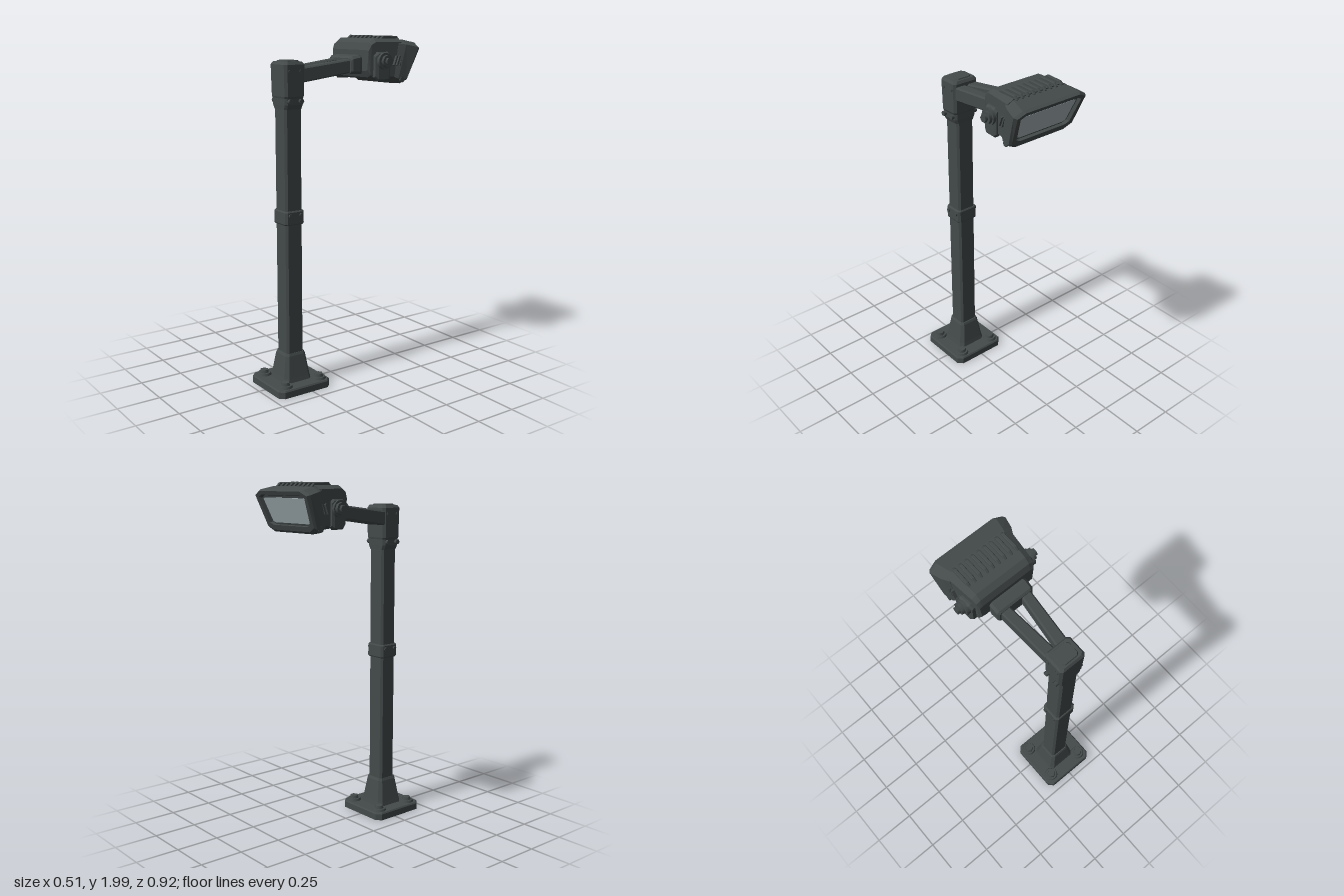
import * as THREE from 'three';

const metal = new THREE.MeshStandardMaterial({ color: 0x444a4a });
metal.name = 'dark grey metal';
const glass = new THREE.MeshStandardMaterial({ color: 0xa6b3b7 });
glass.name = 'pale lamp glass';

const CX = 0.006, CZ = 0.29; // pole axis

// Chamfered rectangle, counter-clockwise, half sizes a and b
function octagon(a, b, c) {
  return [[-a + c, -b], [a - c, -b], [a, -b + c], [a, b - c], [a - c, b], [-a + c, b], [-a, b - c], [-a, -b + c]];
}

// Skin a row of equal-length rings and close both ends
function loft(rings) {
  const pos = [];
  const tri = (...pts) => pts.forEach((p) => pos.push(p.x, p.y, p.z));
  const n = rings[0].length;
  for (let k = 0; k < rings.length - 1; k++) {
    for (let i = 0; i < n; i++) {
      const j = (i + 1) % n, r = rings[k], s = rings[k + 1];
      tri(r[i], r[j], s[j]);
      tri(r[i], s[j], s[i]);
    }
  }
  const first = rings[0], last = rings[rings.length - 1];
  for (let i = 1; i < n - 1; i++) {
    tri(first[0], first[i + 1], first[i]);
    tri(last[0], last[i], last[i + 1]);
  }
  const g = new THREE.BufferGeometry();
  g.setAttribute('position', new THREE.Float32BufferAttribute(pos, 3));
  g.computeVertexNormals();
  return g;
}

// Upright column from [y, halfX, halfZ, chamfer] levels
const column = (levels) => loft(levels.map(([y, hx, hz, c]) =>
  octagon(hz, hx, c).map(([z, x]) => new THREE.Vector3(CX + x, y, CZ + z))));

// Beam running towards -z from [x, y, z, halfX, halfY, chamfer] stations
const beam = (stations) => loft(stations.map(([x, y, z, hx, hy, c]) =>
  octagon(hx, hy, c).map(([u, v]) => new THREE.Vector3(x - u, y + v, z))));

// Tilted lamp section: top and bottom edges as [y, z], half widths at each
function section(top, bot, wTop, wBot, c) {
  return octagon(1, 1, c).map(([u, v]) => {
    const t = (v + 1) / 2;
    return new THREE.Vector3(-u * (wBot + (wTop - wBot) * t),
      bot[0] + (top[0] - bot[0]) * t, bot[1] + (top[1] - bot[1]) * t);
  });
}

export function createModel() {
  const model = new THREE.Group();
  const add = (name, geo, mat = metal, x = 0, y = 0, z = 0) => {
    const m = new THREE.Mesh(geo, mat);
    m.name = name;
    m.position.set(x, y, z);
    model.add(m);
    return m;
  };
  const sideDisc = (name, r, len, x, y, z, sides = 6) =>
    add(name, new THREE.CylinderGeometry(r, r, len, sides).toNonIndexed().rotateZ(Math.PI / 2), metal, x, y, z);

  // Base plate, flared foot and anchor bolts
  add('basePlate', column([[0.005, 0.171, 0.172, 0.028], [0.042, 0.171, 0.172, 0.028], [0.05, 0.165, 0.166, 0.026]]));
  add('foot', column([[0.05, 0.092, 0.09, 0.02], [0.075, 0.087, 0.085, 0.02], [0.2, 0.066, 0.066, 0.016], [0.214, 0.06, 0.06, 0.014]]));
  for (const sx of [-1, 1]) for (const sz of [-1, 1]) {
    const x = CX + sx * 0.115, z = CZ - 0.005 + sz * 0.114;
    add('anchorWasher', new THREE.CylinderGeometry(0.037, 0.042, 0.014, 20), metal, x, 0.056, z);
    add('anchorBolt', new THREE.CylinderGeometry(0.024, 0.029, 0.02, 6), metal, x, 0.07, z);
  }

  // Pole with middle collar and upper clamp
  add('pole', column([[0.2, 0.057, 0.054, 0.012], [1.66, 0.057, 0.054, 0.012]]));
  add('collar', column([[0.965, 0.062, 0.058, 0.012], [0.972, 0.067, 0.062, 0.012], [1.038, 0.067, 0.062, 0.012], [1.045, 0.062, 0.058, 0.012]]));
  add('upperClamp', column([[1.605, 0.06, 0.056, 0.012], [1.63, 0.071, 0.058, 0.012], [1.68, 0.073, 0.06, 0.012]]));
  for (const s of [-1, 1]) {
    for (const dz of [-0.035, 0.035]) {
      sideDisc('collarBolt', 0.011, 0.018, CX + s * 0.067, 1.02, CZ + dz);
      sideDisc('clampBolt', 0.014, 0.026, CX + s * 0.076, 1.65, CZ + dz);
      sideDisc('jointBolt', 0.011, 0.01, CX + s * 0.08, 1.81, CZ + dz);
    }
  }

  // Joint block on the pole top
  add('jointBlock', column([[1.635, 0.058, 0.052, 0.012], [1.675, 0.078, 0.062, 0.014], [1.845, 0.08, 0.066, 0.014], [1.86, 0.07, 0.056, 0.014]]));
  add('jointCap', column([[1.855, 0.055, 0.049, 0.014], [1.867, 0.05, 0.044, 0.014]]));

  // Twin arms spreading towards the lamp, and their bracket
  for (const s of [-1, 1]) {
    add('arm', beam([[s * 0.038 + 0.003, 1.787, 0.24, 0.034, 0.041, 0.008], [s * 0.067, 1.829, -0.08, 0.029, 0.038, 0.008]]));
  }
  add('armBracket', beam([[0, 1.828, -0.065, 0.105, 0.042, 0.012], [0, 1.832, -0.075, 0.113, 0.048, 0.014],
    [0, 1.835, -0.12, 0.115, 0.052, 0.014], [0, 1.835, -0.16, 0.105, 0.052, 0.014]]));

  // Lamp housing
  add('lampBody', loft([
    section([1.915, -0.135], [1.8, -0.135], 0.17, 0.16, 0.12),
    section([1.955, -0.15], [1.765, -0.15], 0.177, 0.17, 0.14),
    section([1.977, -0.18], [1.755, -0.17], 0.182, 0.175, 0.16),
    section([1.977, -0.35], [1.745, -0.3], 0.2, 0.195, 0.18),
  ]));
  // Flared hood with a recessed front
  add('lampHood', loft([
    section([1.972, -0.33], [1.745, -0.29], 0.2, 0.19, 0.2),
    section([1.97, -0.37], [1.728, -0.315], 0.222, 0.205, 0.22),
    section([1.953, -0.445], [1.725, -0.365], 0.243, 0.213, 0.22),
    section([1.945, -0.462], [1.736, -0.378], 0.23, 0.203, 0.22),
    section([1.925, -0.453], [1.763, -0.388], 0.205, 0.178, 0.16),
    section([1.922, -0.432], [1.766, -0.368], 0.2, 0.174, 0.16),
  ]));
  add('lampGlass', loft([
    section([1.912, -0.424], [1.778, -0.369], 0.188, 0.165, 0.1),
    section([1.91, -0.43], [1.776, -0.376], 0.187, 0.164, 0.1),
  ]), glass);

  // Cooling fins along the top
  for (let i = 0; i < 9; i++) {
    const x = -0.15 + i * 0.0375;
    add('coolingFin', beam([[x, 1.965, -0.23, 0.008, 0.012, 0.003], [x, 1.968, -0.25, 0.009, 0.025, 0.003],
      [x, 1.966, -0.345, 0.009, 0.024, 0.003], [x, 1.96, -0.362, 0.008, 0.014, 0.003]]));
  }

  // Side yokes, pivot knobs and slanted ribs
  for (const s of [-1, 1]) {
    add('yokeArm', beam([[s * 0.18, 1.825, -0.165, 0.014, 0.06, 0.008], [s * 0.183, 1.825, -0.185, 0.02, 0.08, 0.01],
      [s * 0.187, 1.825, -0.25, 0.02, 0.08, 0.01], [s * 0.187, 1.825, -0.265, 0.014, 0.065, 0.008]]));
    sideDisc('pivotWasher', 0.046, 0.03, s * 0.204, 1.855, -0.218, 16);
    sideDisc('pivotKnob', 0.035, 0.03, s * 0.222, 1.855, -0.222, 8);
    sideDisc('pivotBolt', 0.022, 0.03, s * 0.238, 1.855, -0.222, 6);
    for (let i = 0; i < 3; i++) {
      const rib = add('sideRib', new THREE.BoxGeometry(0.02, 0.055, 0.009), metal, s * 0.2, 1.855, -0.3 - i * 0.02);
      rib.rotation.x = -0.35;
    }
    sideDisc('hoodBolt', 0.016, 0.014, s * 0.206, 1.75, -0.345, 8);
  }
  return model;
}
